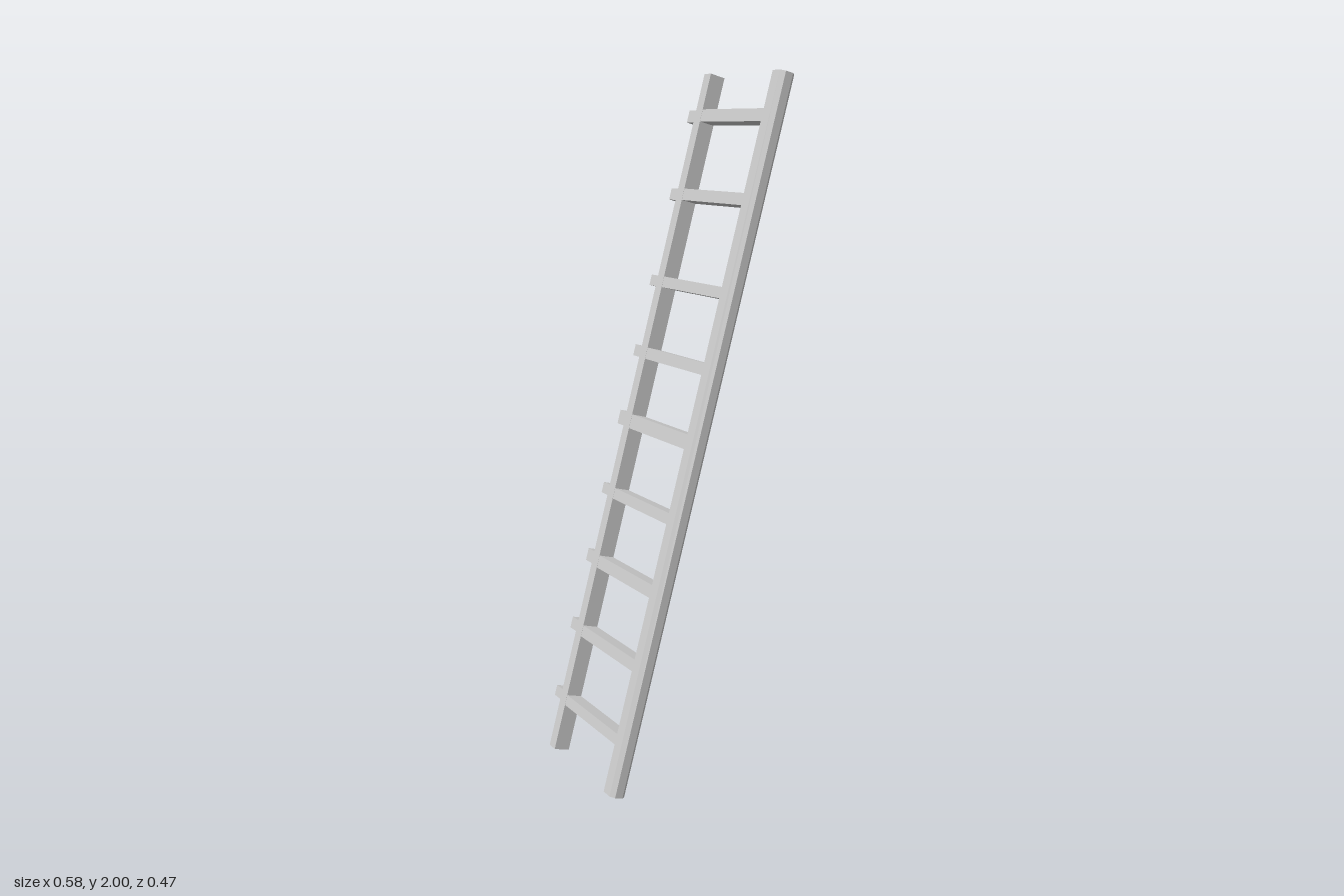
import * as THREE from 'three';

const LEAN = THREE.MathUtils.degToRad(15);
const LENGTH = 2.058;
const W = 0.048; // rail thickness

export function createModel() {
  const model = new THREE.Group();
  model.name = 'leaningLadder';
  const material = new THREE.MeshStandardMaterial({ color: 0xcccccc, flatShading: true });

  // Everything is built upright, then tilted as one
  const ladder = new THREE.Group();
  ladder.name = 'ladder';
  ladder.rotation.z = -LEAN;
  ladder.position.y = 1;
  model.add(ladder);

  const add = (name, geometry, x, y, z) => {
    const mesh = new THREE.Mesh(geometry, material);
    mesh.name = name;
    mesh.position.set(x, y, z);
    ladder.add(mesh);
    return mesh;
  };

  // Rails: square section with the two outer edges chamfered
  const h = W / 2, c = 0.012;
  const section = new THREE.Shape([
    [-h, -h], [h, -h], [h, h - c], [h - c, h], [-h + c, h], [-h, h - c],
  ].map(([x, y]) => new THREE.Vector2(x, y)));
  const railGeometry = new THREE.ExtrudeGeometry(section, { depth: LENGTH, bevelEnabled: false });
  railGeometry.translate(0, 0, -LENGTH / 2).rotateX(-Math.PI / 2);
  add('backRail', railGeometry, 0, 0, -0.164);
  add('frontRail', railGeometry, 0, 0, 0.21).rotation.y = Math.PI;

  // Rungs: [height above ground, thickness], unevenly spaced
  const rungs = [
    [0.155, 0.031], [0.364, 0.034], [0.572, 0.037], [0.775, 0.032], [0.988, 0.042],
    [1.188, 0.034], [1.396, 0.032], [1.649, 0.034], [1.875, 0.036],
  ];
  rungs.forEach(([y, t], i) => {
    const along = (y - 1) / Math.cos(LEAN);
    add(`rung${i + 1}`, new THREE.BoxGeometry(W - 0.001, t, 0.33), 0, along, 0.023);
    // Narrower tenon end poking out through the back rail
    add(`tenon${i + 1}`, new THREE.BoxGeometry(0.025, t, 0.056), 0, along, -0.207);
  });

  return model;
}
